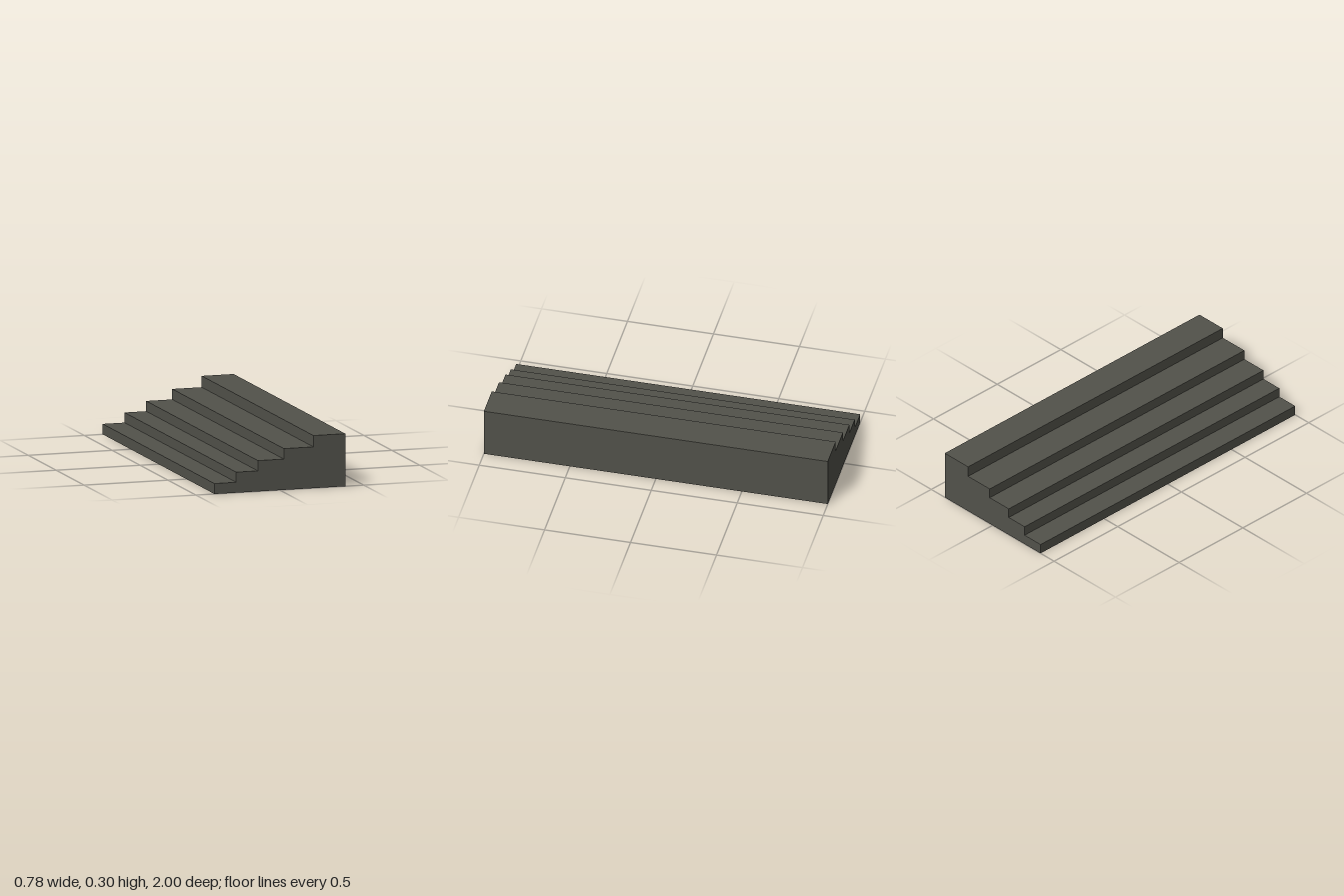
import * as THREE from 'three';

export function createModel() {
  const model = new THREE.Group();
  model.name = 'staircase';
  const stone = new THREE.MeshStandardMaterial({ color: 0x52524b });
  stone.name = 'dark stone';

  // Each step: x where its riser stands, height of its tread
  const steps = [
    [-0.39, 0.06], [-0.26, 0.118], [-0.131, 0.177], [0.024, 0.237], [0.2, 0.302],
  ];
  const right = 0.39;
  const length = 2;

  // Stepped side profile, swept along z
  const profile = new THREE.Shape();
  profile.moveTo(steps[0][0], 0);
  profile.lineTo(right, 0);
  profile.lineTo(right, steps[steps.length - 1][1]);
  for (let i = steps.length - 1; i >= 0; i--) {
    const [x, y] = steps[i];
    profile.lineTo(x, y);
    if (i > 0) profile.lineTo(x, steps[i - 1][1]);
  }
  profile.closePath();

  const geometry = new THREE.ExtrudeGeometry(profile, { depth: length, bevelEnabled: false });
  geometry.translate(0, 0, -length / 2);
  const stairs = new THREE.Mesh(geometry, stone);
  stairs.name = 'steps';
  model.add(stairs);
  return model;
}
